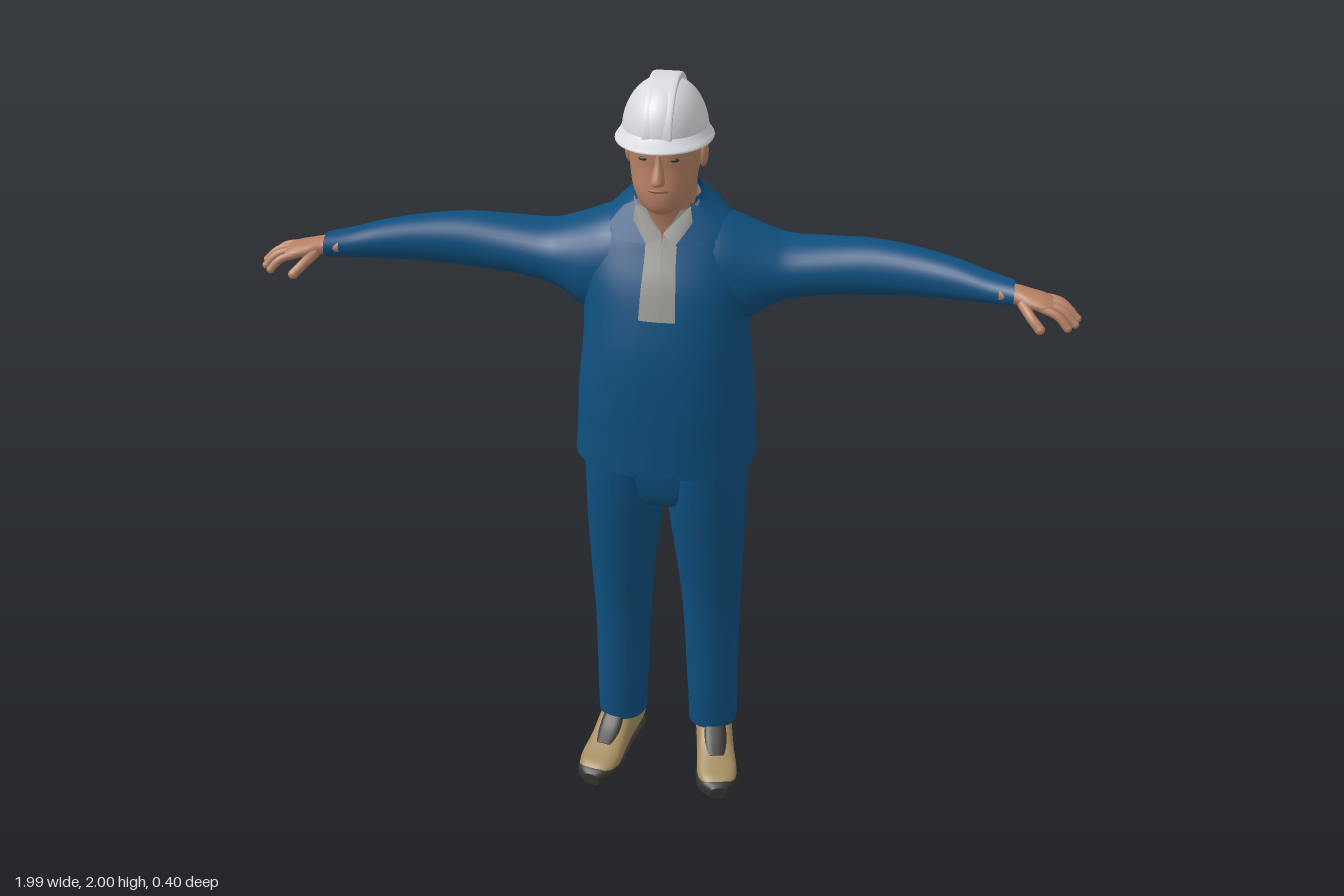
import * as THREE from 'three';

const mat = (name, color, side = THREE.FrontSide) => {
  const m = new THREE.MeshStandardMaterial({ color, side });
  m.name = name;
  return m;
};

// Catmull-Rom interpolation of section rows
function smooth(rows, n) {
  const out = [];
  for (let i = 0; i < rows.length - 1; i++) {
    const [a, b, c, d] = [i - 1, i, i + 1, i + 2].map(k => rows[Math.min(Math.max(k, 0), rows.length - 1)]);
    for (let s = 0; s < n; s++) {
      const t = s / n;
      out.push(b.map((_, k) => b[k] + 0.5 * t * (c[k] - a[k] + t * (2 * a[k] - 5 * b[k] + 4 * c[k] - d[k]
        + t * (3 * (b[k] - c[k]) + d[k] - a[k])))));
    }
  }
  out.push(rows[rows.length - 1]);
  return out;
}

// Skin over superellipse sections [t, a0, a1, b0, b1, tilt, gap] along an axis.
// Cross axes are (z,x) for y, (y,z) for x and (x,y) for z.
function loft(axis, rows, { steps = 4, segs = 32, e = 1, open = false, caps = true } = {}) {
  const secs = smooth(rows, steps), pos = [], idx = [];
  const place = { x: (t, a, b) => [t, a, b], y: (t, a, b) => [b, t, a], z: (t, a, b) => [a, b, t] }[axis];
  const pw = v => Math.sign(v) * Math.abs(v) ** e;
  const cols = open ? segs + 1 : segs;
  for (const [t, a0, a1, b0, b1, tilt = 0, gap = 0] of secs) {
    const ra = (a1 - a0) / 2, rb = (b1 - b0) / 2;
    const start = open ? Math.asin(Math.min(0.999, (Math.max(gap, 0) / rb) ** (1 / e))) : 0;
    for (let j = 0; j < cols; j++) {
      const w = start + (2 * Math.PI - 2 * start) * j / segs;
      const da = ra * pw(Math.cos(w));
      pos.push(...place(t - tilt * da, (a0 + a1) / 2 + da, (b0 + b1) / 2 + rb * pw(Math.sin(w))));
    }
  }
  for (let i = 0; i < secs.length - 1; i++) for (let j = 0; j < segs; j++) {
    const k = (j + 1) % cols, p = i * cols, q = p + cols;
    idx.push(p + j, p + k, q + k, p + j, q + k, q + j);
  }
  if (caps && !open) for (const i of [0, secs.length - 1]) {
    const base = pos.length / 3, s = secs[i];
    pos.push(...place(s[0], (s[1] + s[2]) / 2, (s[3] + s[4]) / 2));
    pos.push(...pos.slice(i * cols * 3, (i + 1) * cols * 3));
    for (let j = 0; j < segs; j++) {
      const u = base + 1 + j, v = base + 1 + (j + 1) % segs;
      idx.push(base, ...(i ? [u, v] : [v, u]));
    }
  }
  const g = new THREE.BufferGeometry();
  g.setAttribute('position', new THREE.Float32BufferAttribute(pos, 3));
  g.setIndex(idx);
  g.computeVertexNormals();
  return g;
}
const sym = rows => rows.map(([y, zb, zf, rx, tilt = 0, gap = 0]) => [y, zb, zf, -rx, rx, tilt, gap]);
const body = (rows, opt) => loft('y', sym(rows), opt);

function ball(x, y, z, rx, ry, rz) {
  return new THREE.SphereGeometry(1, 20, 14).scale(rx, ry, rz).translate(x, y, z);
}
function plate(...pts) {
  const g = new THREE.BufferGeometry();
  g.setAttribute('position', new THREE.Float32BufferAttribute(pts.flat(), 3));
  g.setIndex(pts.slice(2).flatMap((_, i) => [0, i + 1, i + 2]));
  g.computeVertexNormals();
  return g;
}
function mirror(geo) {
  const g = geo.clone().scale(-1, 1, 1), a = g.index.array;
  for (let i = 0; i < a.length; i += 3) [a[i], a[i + 1]] = [a[i + 1], a[i]];
  g.computeVertexNormals();
  return g;
}

export function createModel() {
  const root = new THREE.Group();
  root.name = 'worker';
  const blue = mat('workwear blue', 0x0f4f7e, THREE.DoubleSide);
  const skin = mat('skin', 0xb58064);
  const lip = mat('lip', 0x8f5847);
  const grey = mat('shirt grey', 0x9b9a96, THREE.DoubleSide);
  const white = mat('helmet white', 0xd9dade);
  const dark = mat('dark rubber', 0x34332f);
  const hair = mat('cropped hair', 0x4c4a3f, THREE.DoubleSide);
  const tan = mat('boot tan', 0xa38b5e);
  const add = (name, geo, m) => {
    const mesh = new THREE.Mesh(geo, m);
    mesh.name = name;
    root.add(mesh);
  };
  const both = (name, geo, m) => {
    add(name + 'Left', geo, m);
    add(name + 'Right', mirror(geo), m);
  };

  // Jacket, open down the front
  add('jacket', body([
    [1.0, -0.188, 0.172, 0.232, 0, 0.052], [1.1, -0.19, 0.175, 0.225, 0, 0.051],
    [1.2, -0.192, 0.177, 0.22, 0, 0.05], [1.32, -0.19, 0.17, 0.207, 0, 0.048],
    [1.42, -0.187, 0.148, 0.205, 0, 0.045], [1.5, -0.178, 0.122, 0.21, 0, 0.042],
    [1.57, -0.168, 0.088, 0.2, 0, 0.038], [1.62, -0.155, 0.066, 0.165, 0.05, 0.04],
    [1.66, -0.14, 0.045, 0.118, 0.15, 0.05], [1.69, -0.118, 0.03, 0.085, 0.2, 0.058],
  ], { segs: 56, e: 0.86, open: true }), blue);
  add('jacketCollar', body([
    [1.65, -0.153, 0.045, 0.132, 0.2, 0.075], [1.685, -0.134, 0.035, 0.095, 0.2, 0.065],
    [1.7, -0.115, 0.03, 0.082, 0.2, 0.062],
  ], { segs: 40, open: true }), blue);
  both('lapel', plate([0.064, 1.692, 0.028], [0.036, 1.6, 0.082], [0.1, 1.602, 0.07], [0.135, 1.628, 0.038], [0.1, 1.672, 0.022]), blue);

  // Bib and shirt worn beneath
  add('bib', body([
    [1.0, -0.175, 0.16, 0.215], [1.2, -0.178, 0.164, 0.205], [1.32, -0.175, 0.157, 0.192], [1.42, -0.17, 0.136, 0.18],
  ], { e: 0.86 }), blue);
  add('shirt', body([
    [1.4, -0.165, 0.138, 0.175, 0, 0], [1.5, -0.16, 0.111, 0.18, 0, 0], [1.57, -0.15, 0.078, 0.165, 0, 0],
    [1.62, -0.13, 0.057, 0.125, 0, 0.003], [1.66, -0.11, 0.054, 0.09, 0.1, 0.026], [1.69, -0.098, 0.052, 0.079, 0.2, 0.04],
  ], { segs: 40, e: 0.9, open: true }), grey);
  both('shirtCollar', plate([0.066, 1.69, 0.044], [0.004, 1.624, 0.066], [0.034, 1.597, 0.083], [0.072, 1.65, 0.05]), grey);

  // Sleeves
  both('sleeve', loft('x', [
    [0.08, 1.65, 1.38, 0.08, -0.16], [0.14, 1.64, 1.365, 0.078, -0.17], [0.2, 1.615, 1.372, 0.066, -0.168],
    [0.25, 1.595, 1.405, 0.05, -0.16], [0.3, 1.582, 1.43, 0.038, -0.15], [0.4, 1.588, 1.45, 0.03, -0.13],
    [0.5, 1.596, 1.46, 0.03, -0.106], [0.6, 1.592, 1.475, 0.042, -0.078], [0.7, 1.582, 1.487, 0.064, -0.042],
    [0.78, 1.567, 1.498, 0.086, -0.008], [0.835, 1.563, 1.505, 0.103, 0.026],
  ].map(([x, t, b, f, k]) => [x, b, t, k, f]), { e: 0.94 }), blue);

  // Hands
  both('palm', loft('x', [
    [0.8, 1.515, 1.555, 0.038, 0.095], [0.84, 1.512, 1.555, 0.036, 0.1], [0.87, 1.508, 1.55, 0.036, 0.116],
    [0.905, 1.508, 1.543, 0.041, 0.125], [0.927, 1.514, 1.534, 0.05, 0.12],
  ], { segs: 20 }), skin);
  const fingers = [
    [[0.9, 1.526, 0.052], [0.945, 1.52, 0.06], [0.972, 1.499, 0.067]],
    [[0.9, 1.528, 0.074], [0.953, 1.52, 0.084], [0.985, 1.493, 0.091]],
    [[0.9, 1.527, 0.094], [0.95, 1.517, 0.107], [0.98, 1.489, 0.115]],
    [[0.895, 1.524, 0.112], [0.938, 1.512, 0.127], [0.963, 1.487, 0.135]],
    [[0.855, 1.525, 0.1], [0.878, 1.507, 0.135], [0.9, 1.486, 0.15]],
  ];
  fingers.forEach((p, i) => {
    const path = new THREE.CatmullRomCurve3(p.map(v => new THREE.Vector3(...v)));
    const r = i === 4 ? 0.012 : 0.0098, name = i === 4 ? 'thumb' : 'finger' + (i + 1);
    both(name, new THREE.TubeGeometry(path, 8, r, 10), skin);
    both(name + 'Tip', ball(...p[2], r, r, r), skin);
  });

  // Trousers
  add('trouserSeat', body([
    [0.845, -0.06, 0.04, 0.05], [0.88, -0.125, 0.105, 0.14], [0.94, -0.153, 0.128, 0.19], [1.04, -0.165, 0.14, 0.2],
  ], { e: 0.9 }), blue);
  both('trouserLeg', loft('y', [
    [0.112, 0.128, 0.067, 0.04, -0.11], [0.18, 0.128, 0.068, 0.048, -0.116], [0.25, 0.126, 0.07, 0.055, -0.12],
    [0.4, 0.123, 0.073, 0.065, -0.125], [0.5, 0.121, 0.077, 0.073, -0.121], [0.6, 0.119, 0.083, 0.086, -0.12],
    [0.8, 0.11, 0.098, 0.12, -0.137], [0.9, 0.106, 0.103, 0.135, -0.151], [1.03, 0.104, 0.106, 0.146, -0.167],
  ].map(([y, c, r, f, b]) => [y, b, f, c - r, c + r]), { e: 0.92 }), blue);

  // Boots, toes turned out
  const boot = rows => loft('z', rows.map(([z, w, y0, y1]) => [z, -w, w, y0, y1]), { segs: 28, e: 0.75 })
    .rotateY(0.2).translate(0.138, 0, 0);
  both('bootUpper', boot([
    [-0.114, 0.03, 0.012, 0.09], [-0.1, 0.045, 0.01, 0.125], [-0.04, 0.05, 0.01, 0.14], [0.015, 0.05, 0.01, 0.13],
    [0.07, 0.052, 0.01, 0.092], [0.13, 0.055, 0.01, 0.068], [0.175, 0.045, 0.01, 0.055], [0.197, 0.022, 0.012, 0.04],
  ]), tan);
  both('bootSole', boot([
    [-0.117, 0.03, 0, 0.022], [-0.1, 0.047, 0, 0.022], [-0.04, 0.05, 0, 0.022], [0.03, 0.05, 0, 0.022],
    [0.13, 0.058, 0, 0.024], [0.178, 0.048, 0, 0.024], [0.202, 0.022, 0, 0.024],
  ]), dark);
  both('toeGuard', boot([
    [0.09, 0.056, 0, 0.026], [0.135, 0.059, 0, 0.042], [0.178, 0.049, 0, 0.05], [0.204, 0.022, 0.002, 0.038],
  ]), dark);
  both('bootTongue', boot([
    [0.0, 0.024, 0.1, 0.137], [0.03, 0.03, 0.09, 0.126], [0.07, 0.032, 0.06, 0.097], [0.11, 0.026, 0.05, 0.077],
  ]), dark);

  // Neck and head
  add('neck', body([
    [1.58, -0.09, 0.038, 0.075], [1.65, -0.088, 0.045, 0.071], [1.72, -0.086, 0.068, 0.073], [1.77, -0.09, 0.08, 0.075],
  ]), skin);
  add('head', body([
    [1.685, -0.03, 0.092, 0.032], [1.7, -0.05, 0.112, 0.05], [1.725, -0.07, 0.118, 0.067], [1.755, -0.085, 0.117, 0.077],
    [1.8, -0.1, 0.111, 0.084], [1.835, -0.104, 0.112, 0.086], [1.87, -0.105, 0.11, 0.088], [1.9, -0.1, 0.1, 0.085],
  ], { e: 0.9 }), skin);
  add('nose', body([
    [1.766, 0.1, 0.122, 0.008], [1.775, 0.098, 0.143, 0.017], [1.79, 0.096, 0.141, 0.015],
    [1.82, 0.09, 0.122, 0.009], [1.845, 0.09, 0.113, 0.007],
  ], { segs: 16 }), skin);
  add('mouth', ball(0, 1.752, 0.113, 0.025, 0.005, 0.007), lip);
  both('ear', ball(0.088, 1.808, -0.008, 0.012, 0.036, 0.02), skin);
  both('eye', ball(0.035, 1.827, 0.102, 0.013, 0.005, 0.006), dark);
  both('brow', ball(0.036, 1.845, 0.103, 0.019, 0.004, 0.006), lip);
  add('hair', body([
    [1.815, -0.106, 0.1, 0.087, 0, 0.087], [1.84, -0.112, 0.1, 0.091, 0, 0.091], [1.87, -0.113, 0.1, 0.093, 0, 0.093],
  ], { open: true, e: 0.9 }), hair);

  // Hard hat: dome, raised centre ridge and brim with a dark underside
  const dome = Array.from({ length: 13 }, (_, k) => {
    const t = k / 12 * Math.PI / 2, s = Math.max(Math.cos(t), 0.001) ** 0.9;
    return [1.862 + 0.131 * Math.sin(t), 0.008 - 0.133 * s, 0.008 + 0.133 * s, 0.102 * s, -0.085];
  });
  add('helmetDome', body(dome, { steps: 1, segs: 48, caps: false }), white);
  const arc = new THREE.Shape();
  arc.absellipse(0.008, 1.872, 0.128, 0.124, 0, Math.PI, false);
  add('helmetRidge', new THREE.ExtrudeGeometry(arc, {
    depth: 0.05, bevelThickness: 0.01, bevelSize: 0.004, bevelSegments: 3, curveSegments: 32,
  }).translate(0, 0, -0.025).rotateY(-Math.PI / 2), white);
  add('helmetBrim', body([
    [1.853, -0.143, 0.178, 0.115, -0.085], [1.858, -0.143, 0.178, 0.115, -0.085],
    [1.868, -0.13, 0.155, 0.107, -0.085], [1.882, -0.122, 0.136, 0.1, -0.085],
  ], { steps: 2, segs: 48, caps: false }), white);
  add('helmetUnderside', body([
    [1.861, -0.1, 0.11, 0.08, -0.085], [1.853, -0.143, 0.178, 0.115, -0.085],
  ], { steps: 1, segs: 48, caps: false }), dark);

  return root;
}
